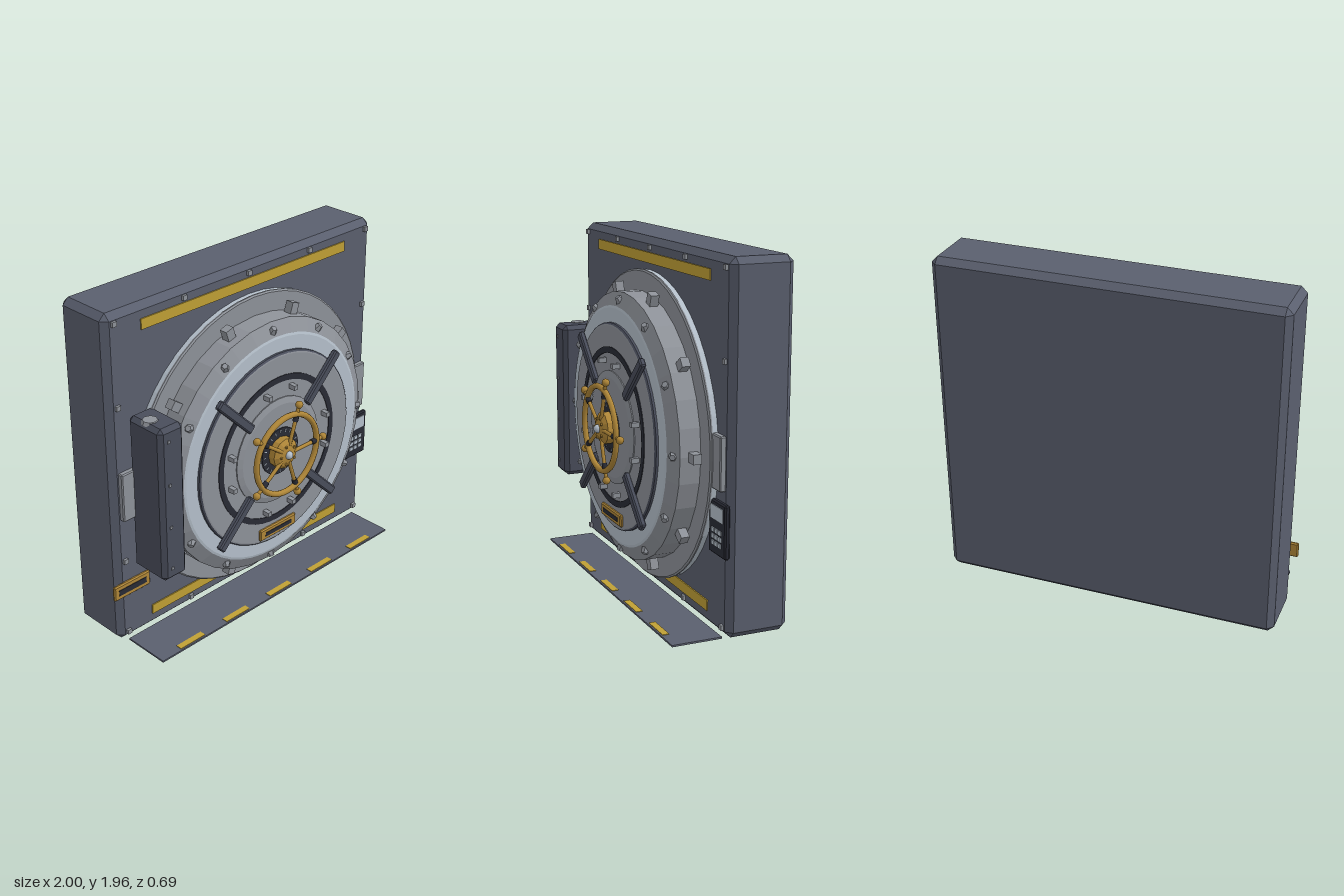
import * as THREE from 'three';
import { ConvexGeometry } from 'three/addons/geometries/ConvexGeometry.js';

const mat = (name, color) => {
  const m = new THREE.MeshStandardMaterial({ color });
  m.name = name;
  return m;
};

export function createModel() {
  const wall = mat('slate wall', 0x5a5f6e);
  const slate = mat('dark slate', 0x494d5b);
  const grey = mat('grey steel', 0x8e9299);
  const steel = mat('bright steel', 0xb5c0cb);
  const black = mat('near black', 0x292b35);
  const brass = mat('brass', 0xb08738);
  const yellow = mat('warning yellow', 0xc0a035);

  const model = new THREE.Group();
  model.name = 'vaultDoor';

  const add = (parent, name, geo, material, x = 0, y = 0, z = 0) => {
    const m = new THREE.Mesh(geo, material);
    m.name = name;
    m.position.set(x, y, z);
    parent.add(m);
    return m;
  };
  const flat = (geo) => {
    const g = geo.index ? geo.toNonIndexed() : geo;
    g.computeVertexNormals();
    return g;
  };
  // Box with all twelve edges cut at 45 degrees
  const chamferBox = (w, h, d, c) => {
    const pts = [];
    for (const sx of [-1, 1]) for (const sy of [-1, 1]) for (const sz of [-1, 1]) {
      const x = w / 2, y = h / 2, z = d / 2;
      pts.push(new THREE.Vector3(sx * x, sy * (y - c), sz * (z - c)));
      pts.push(new THREE.Vector3(sx * (x - c), sy * y, sz * (z - c)));
      pts.push(new THREE.Vector3(sx * (x - c), sy * (y - c), sz * z));
    }
    return new ConvexGeometry(pts);
  };
  const box = (w, h, d) => new THREE.BoxGeometry(w, h, d);
  // Turned part whose axis points forward; profile is [radius, z] pairs
  const turned = (profile, sides) => flat(new THREE.LatheGeometry(
    profile.map(([r, z]) => new THREE.Vector2(r, z)), sides).rotateX(Math.PI / 2));
  // Places a part at an angle on the door, its local x pointing outward
  const radial = (parent, name, geo, material, angle, r, z) => {
    const m = add(parent, name, geo, material, Math.cos(angle) * r, Math.sin(angle) * r, z);
    m.rotation.z = angle;
    return m;
  };

  const CX = 0.015, CY = 0.928;

  // Wall block
  add(model, 'wallBlock', chamferBox(1.955, 1.945, 0.35, 0.035), wall, CX, 0.983, -0.175);

  // Warning stripes and studs on the wall face
  for (const y of [0.12, 1.847]) add(model, 'wallStripe', box(1.495, 0.058, 0.008), yellow, CX, y, 0.003);
  for (let i = -2; i <= 2; i++) for (let j = -2; j <= 2; j++) {
    if (Math.abs(i) < 2 && Math.abs(j) < 2) continue;
    add(model, 'wallStud', box(0.027, 0.027, 0.02), grey, CX + i * 0.46, 0.984 + j * 0.46, 0.005);
  }

  // Latch plates either side
  for (const s of [-1, 1]) add(model, 'latchPlate', chamferBox(0.1, 0.285, 0.035, 0.006), grey, CX + s * 0.888, CY, 0.015);

  // Floor plate with dashes
  add(model, 'floorPlate', box(1.835, 0.01, 0.28), wall, CX, 0.005, 0.14);
  for (let i = -2; i <= 2; i++) add(model, 'floorDash', box(0.178, 0.006, 0.037), yellow, CX + i * 0.345, 0.01, 0.252);

  // Hinge housing
  add(model, 'hingeHousing', chamferBox(0.165, 0.91, 0.25, 0.024), slate, -0.763, 0.925, 0.125);
  add(model, 'hingePin', flat(new THREE.CylinderGeometry(0.04, 0.05, 0.02, 8)), grey, -0.795, 1.375, 0.12);
  for (let i = 0; i < 4; i++) add(model, 'hingeRivet', box(0.016, 0.016, 0.01), grey, -0.79, 0.545 + i * 0.253, 0.25);

  // Keypad
  const keypad = new THREE.Group();
  keypad.name = 'keypad';
  keypad.position.set(0.907, 0.585, 0);
  model.add(keypad);
  add(keypad, 'keypadCase', chamferBox(0.186, 0.285, 0.03, 0.008), black, 0, 0, 0.01);
  add(keypad, 'keypadScreen', box(0.14, 0.075, 0.006), steel, 0, 0.08, 0.026);
  for (let i = -1; i <= 1; i++) for (let j = -1; j <= 1; j++) {
    add(keypad, 'key', box(0.03, 0.023, 0.008), steel, i * 0.038, -0.047 + j * 0.034, 0.027);
  }

  // Brass plaques with dark slots
  const plaque = (name, x, y, z, w, h, sw, sh) => {
    add(model, name, chamferBox(w, h, 0.022, 0.007), brass, x, y, z);
    add(model, name + 'Slot', box(sw, sh, 0.006), black, x, y, z + 0.011);
  };
  plaque('wallPlaque', -0.875, 0.354, 0.008, 0.25, 0.09, 0.19, 0.034);
  plaque('doorPlaque', CX, 0.427, 0.232, 0.285, 0.07, 0.205, 0.024);

  // Round door
  const door = new THREE.Group();
  door.name = 'roundDoor';
  door.position.set(CX, CY, 0);
  model.add(door);
  add(door, 'frameSide', turned([[0.855, 0], [0.855, 0.032]], 48), steel);
  add(door, 'frameFace', turned([[0.859, 0.03], [0.859, 0.038], [0.85, 0.045], [0.7, 0.045]], 48), grey);
  add(door, 'doorRim', turned([[0.743, 0.04], [0.743, 0.16], [0.668, 0.2], [0.66, 0.2]], 32), grey);
  add(door, 'brightRing', turned([[0.668, 0.2], [0.655, 0.204], [0.572, 0.204]], 48), steel);
  add(door, 'innerStepEdge', turned([[0.576, 0.2], [0.576, 0.217], [0.567, 0.225]], 48), slate);
  add(door, 'innerFace', turned([[0.568, 0.224], [0.56, 0.226], [0, 0.226]], 48), grey);
  add(door, 'darkBand', turned([[0.445, 0.225], [0.445, 0.23], [0.41, 0.23], [0.41, 0.225]], 48), black);
  add(door, 'hubPlate', turned([[0.315, 0.225], [0.315, 0.232], [0.28, 0.242], [0, 0.242]], 32), grey);

  // Locking bolts round the rim
  for (let i = 0; i < 10; i++) radial(door, 'lockingBolt', box(0.08, 0.052, 0.048), grey, i * Math.PI / 5, 0.762, 0.09);
  // Rivets on the sloped shoulder
  const rivet = flat(new THREE.CylinderGeometry(0.016, 0.027, 0.03, 6).rotateZ(-Math.PI / 2).rotateY(-0.6));
  for (let i = 0; i < 12; i++) radial(door, 'shoulderRivet', rivet, grey, i * Math.PI / 6, 0.706, 0.184);
  // Diagonal bars
  const bar = chamferBox(0.335, 0.053, 0.034, 0.008);
  for (let i = 0; i < 4; i++) radial(door, 'diagonalBar', bar, slate, Math.PI / 4 + i * Math.PI / 2, 0.467, 0.238);
  // Square bolts between the bars
  for (let i = 0; i < 12; i++) {
    if (i % 3 === 1) continue;
    add(door, 'squareBolt', box(0.027, 0.027, 0.045), grey,
      Math.cos(Math.PI / 12 + i * Math.PI / 6) * 0.373, Math.sin(Math.PI / 12 + i * Math.PI / 6) * 0.373, 0.247);
  }

  // Dial with ticks
  add(door, 'dial', turned([[0.14, 0.24], [0.14, 0.248], [0, 0.248]], 32), black);
  for (let i = 0; i < 20; i++) radial(door, 'dialTick', box(0.018, 0.005, 0.004), steel, i * Math.PI / 10, 0.122, 0.249);

  // Handwheel
  const wheel = new THREE.Group();
  wheel.name = 'handwheel';
  door.add(wheel);
  add(wheel, 'hub', turned([[0.09, 0.24], [0.09, 0.288], [0.068, 0.305], [0.03, 0.312], [0, 0.312]], 12), brass);
  add(wheel, 'hubCap', new THREE.SphereGeometry(0.024, 12, 8), steel, 0, 0, 0.314);
  add(wheel, 'wheelRim', new THREE.TorusGeometry(0.234, 0.017, 8, 40), brass, 0, 0, 0.3);
  const rod = (r, l) => new THREE.CylinderGeometry(r, r, l, 8).rotateZ(-Math.PI / 2);
  for (let i = 0; i < 5; i++) {
    const a = i * Math.PI * 0.4;
    radial(wheel, 'spoke', rod(0.011, 0.23), brass, a, 0.165, 0.3);
    radial(wheel, 'spokeCollar', rod(0.016, 0.032), black, a, 0.207, 0.3);
    radial(wheel, 'knob', new THREE.SphereGeometry(0.022, 10, 8), brass, a, 0.287, 0.3);
    radial(wheel, 'hubBolt', flat(new THREE.CylinderGeometry(0.008, 0.008, 0.016, 6).rotateX(Math.PI / 2)),
      brass, a + Math.PI / 5, 0.055, 0.308);
  }
  return model;
}
